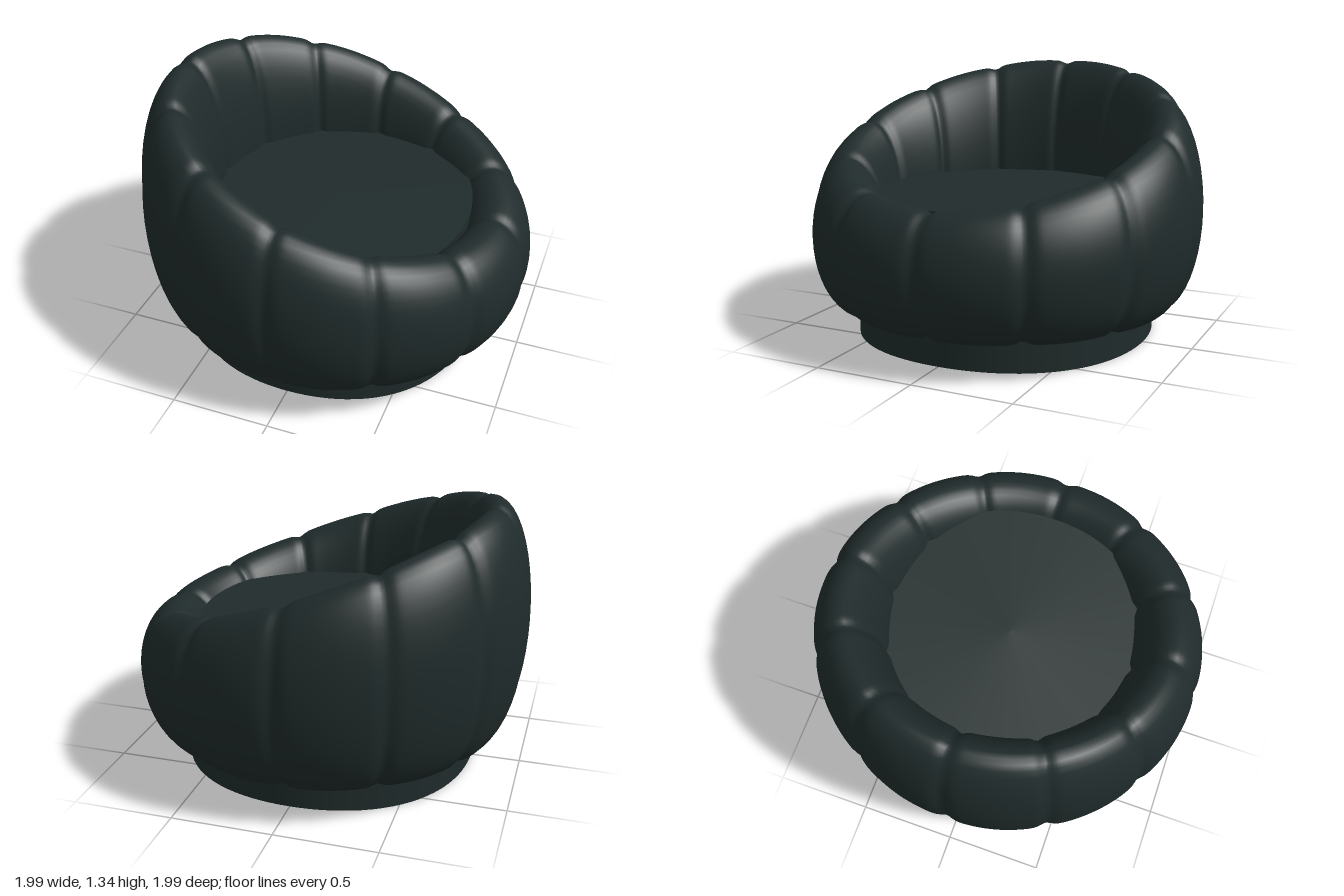
import * as THREE from 'three';
import { mergeVertices } from 'three/addons/utils/BufferGeometryUtils.js';

const RING = 0.81; // radius of the padded ring's centre line
const HALF = 0.184; // half thickness of the padding
const BOTTOM = 0.158;
const PANELS = 12;

// Padded ring: a torus stretched so its top slopes down from back (-x) to front (+x),
// with softly bulging panels and a stitched groove between them
function paddingGeometry() {
  let geo = new THREE.TorusGeometry(RING, HALF, 44, 360);
  geo.rotateX(-Math.PI / 2);
  const pos = geo.attributes.position;
  const step = (Math.PI * 2) / PANELS;
  for (let i = 0; i < pos.count; i++) {
    const x = pos.getX(i), y = pos.getY(i), z = pos.getZ(i);
    const angle = Math.atan2(z, x);
    const across = (Math.hypot(x, z) - RING) / HALF;
    const up = y / HALF;
    const d = angle - Math.round(angle / step) * step;
    const swell = 0.006 * Math.sin((Math.abs(d) / step) * Math.PI)
      - 0.016 * Math.exp(-((d / 0.04) ** 2));
    const top = 1.045 - 0.36 * RING * Math.cos(angle);
    const halfHeight = (top - BOTTOM) / 2;
    const r = RING + across * (HALF + swell);
    pos.setXYZ(i, r * Math.cos(angle),
      BOTTOM + halfHeight + up * (halfHeight + swell), r * Math.sin(angle));
  }
  geo.deleteAttribute('uv');
  geo.deleteAttribute('normal');
  geo = mergeVertices(geo, 1e-4);
  geo.computeVertexNormals();
  return geo;
}

// Upright disc whose outline is a circle slightly fuller on the diagonals
function discGeometry(radius, y0, y1) {
  const geo = new THREE.CylinderGeometry(radius, radius, y1 - y0, 96);
  const pos = geo.attributes.position;
  for (let i = 0; i < pos.count; i++) {
    const x = pos.getX(i), z = pos.getZ(i);
    const k = 1 + 0.033 * Math.sin(2 * Math.atan2(z, x)) ** 2;
    pos.setX(i, x * k);
    pos.setZ(i, z * k);
  }
  geo.translate(0, (y0 + y1) / 2, 0);
  return geo;
}

export function createModel() {
  const model = new THREE.Group();
  model.name = 'tubChair';
  const fabric = new THREE.MeshStandardMaterial({ color: 0x202b2b });
  fabric.name = 'dark green fabric';

  const add = (name, geometry) => {
    const mesh = new THREE.Mesh(geometry, fabric);
    mesh.name = name;
    model.add(mesh);
  };

  add('paddedBackrest', paddingGeometry());
  // Flat seat cushion, mostly tucked into the padding
  add('seat', discGeometry(0.68, 0.4, 0.72));
  // Round plinth
  add('base', discGeometry(0.75, 0, 0.4));
  return model;
}
